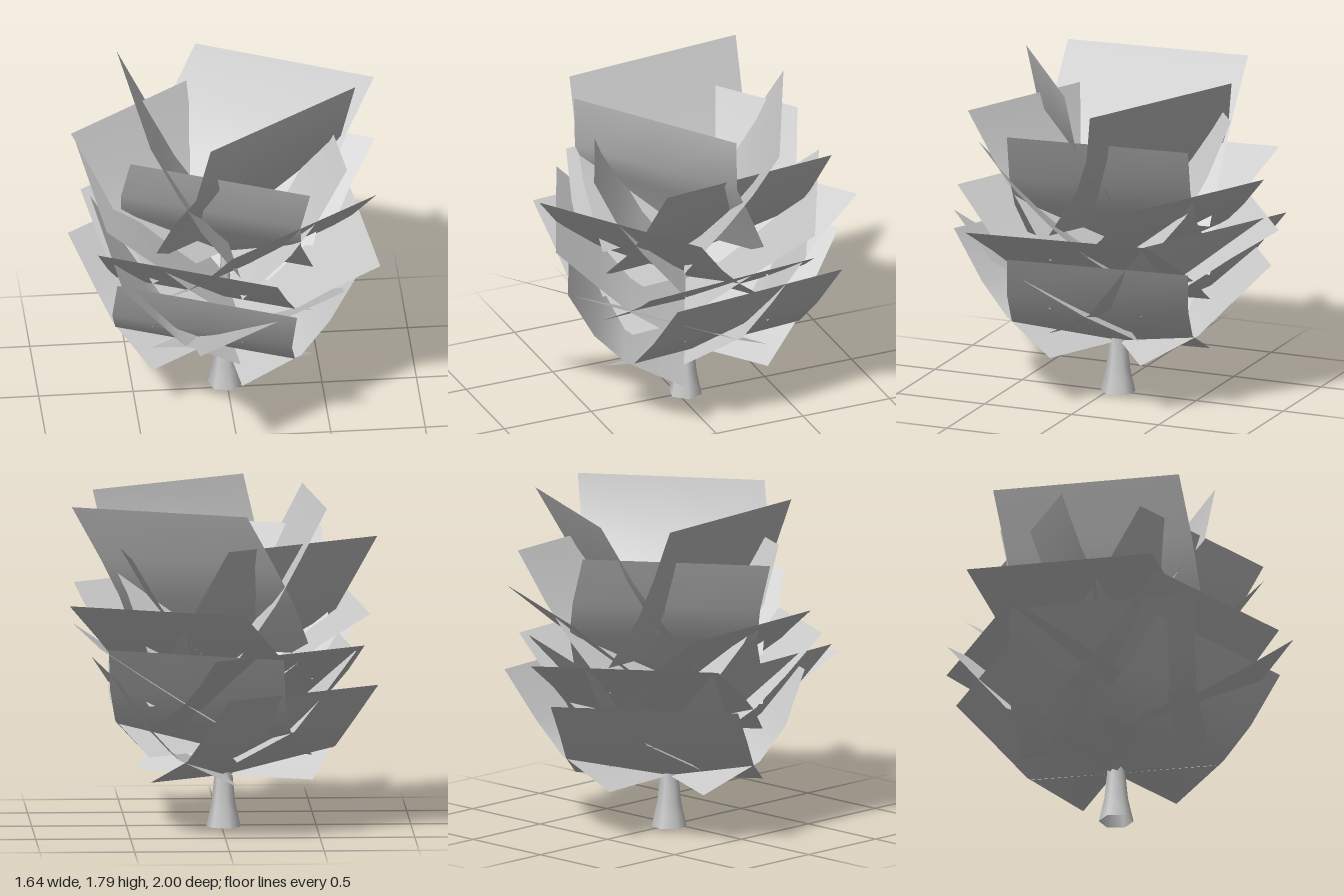
import * as THREE from 'three';

const AXIS = new THREE.Vector3(-0.016, 0, -0.053);

// Curved leaf card: bottom edge crosses the trunk, top edge is centred on the tip.
// sag1 and sag2 push the two inner rows below the straight line to the tip.
function leafCard(azimuth, baseY, [tx, ty, tz, sag1, sag2], material) {
  const a = THREE.MathUtils.degToRad(azimuth);
  const n = new THREE.Vector3(Math.cos(a), 0, Math.sin(a));
  const t = new THREE.Vector3(-n.z, 0, n.x);
  const base = AXIS.clone().setY(baseY);
  const d = new THREE.Vector3(tx, ty, tz).sub(base);
  const out = d.dot(n), rise = d.y, side = d.dot(t);
  const chord = Math.hypot(out, rise);
  // rows from the tip down: [fraction of chord, sag, share of sideways drift]
  const rows = [[1, 0, 1], [0.66, sag2, 0.36], [0.39, sag1, 0.05], [0, 0, 0]];
  const geo = new THREE.PlaneGeometry(1, 1, 2, rows.length - 1);
  const pos = geo.attributes.position;
  const p = new THREE.Vector3();
  for (let i = 0; i < pos.count; i++) {
    const [f, sag, drift] = rows[Math.floor(i / 3)];
    p.copy(base)
      .addScaledVector(n, out * f + sag * rise / chord)
      .addScaledVector(t, side * drift - pos.getX(i));
    pos.setXYZ(i, p.x, p.y + rise * f - sag * out / chord, p.z);
  }
  geo.computeVertexNormals();
  const mesh = new THREE.Mesh(geo, material);
  mesh.name = 'leafCard';
  return mesh;
}

export function createModel() {
  const group = new THREE.Group();
  group.name = 'tree';
  const bark = new THREE.MeshStandardMaterial({ color: 0xcccccc, side: THREE.DoubleSide });
  const leaf = new THREE.MeshStandardMaterial({ color: 0xcccccc, side: THREE.DoubleSide });

  // Tapered six-sided trunk
  const profile = [[0.092, 0], [0.063, 0.13], [0.047, 0.29], [0.03, 0.6], [0.015, 0.95], [0, 0.95]]
    .map(([r, y]) => new THREE.Vector2(r, y));
  const trunk = new THREE.Mesh(new THREE.LatheGeometry(profile, 6, THREE.MathUtils.degToRad(18)), bark);
  trunk.position.set(-0.01, 0, -0.047);
  trunk.name = 'trunk';
  group.add(trunk);

  // Whorls of three cards, 120 degrees apart, from bottom to top; cards are [x, y, z, sag1, sag2]
  const whorls = [
    { y: 0.276, az: 114, cards: [[-0.16, 0.88, 0.56, 0.114, 0.103], [-0.41, 0.79, -0.635, 0.067, 0.037], [0.62, 0.86, -0.2, 0.1, 0.075]] },
    { y: 0.41, az: 55, cards: [[0.17, 0.815, 0.71, 0.01, 0.005], [-0.65, 0.98, 0.07, 0.085, 0.05], [0.16, 1.0, -0.68, 0.09, 0.055]] },
    { y: 0.545, az: 114, cards: [[-0.265, 1.09, 0.585, 0.045, 0.03], [-0.335, 1.01, -0.71, 0.01, 0.005], [0.71, 1.01, 0, 0.005, 0.005]] },
    { y: 0.68, az: 55, cards: [[0.36, 1.27, 0.49, 0.03, 0.03], [-0.715, 1.21, -0.15, -0.005, -0.015], [0.365, 1.23, -0.64, 0.01, 0.01]] },
    { y: 0.81, az: 114, cards: [[-0.08, 1.56, 0.445, 0.05, 0.055], [-0.415, 1.55, -0.4, 0.05, 0.04], [0.55, 1.51, -0.17, 0.05, 0.045]] },
    { y: 0.945, az: 55, cards: [[0.27, 1.795, 0.25, 0.03, 0.075], [-0.49, 1.76, -0.07, 0.03, 0.02], [0.345, 1.73, -0.445, 0.035, 0.035]] },
  ];
  whorls.forEach(({ y, az, cards }) => {
    const whorl = new THREE.Group();
    whorl.name = 'leafWhorl';
    cards.forEach((card, i) => whorl.add(leafCard(az + i * 120, y, card, leaf)));
    group.add(whorl);
  });
  return group;
}
